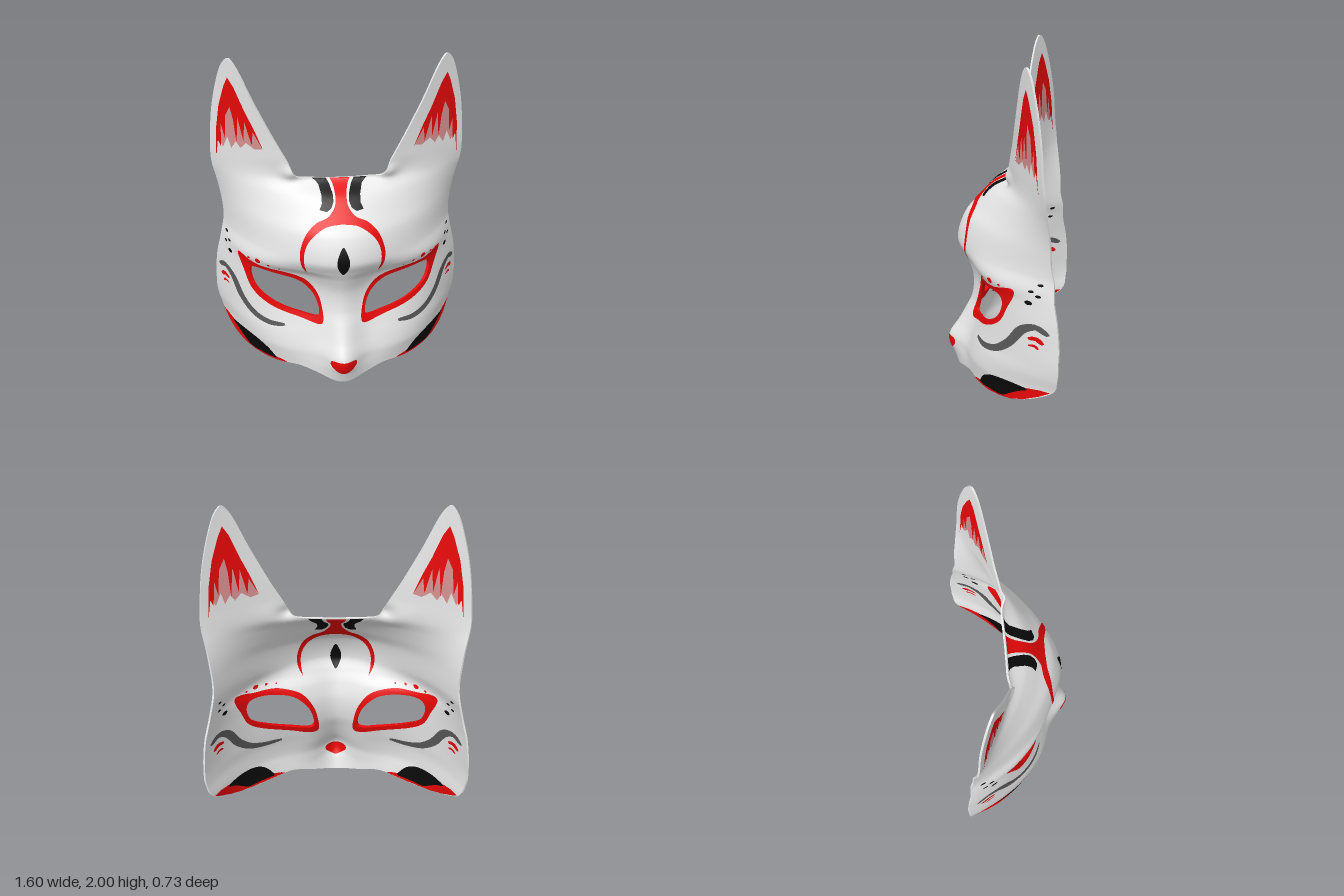
import * as THREE from 'three';

const mat = (name, color) => Object.assign(new THREE.MeshStandardMaterial({ color }), { name });
const THICK = 0.012;

// Face relief by height: y, ridge z, cheek z, ridge width, curve power, half width, edge z
const ROWS = [
  [0, .30, .235, .13, 2.3, .8, -.357], [.08, .328, .235, .13, 2.4, .8, -.357],
  [.14, .355, .23, .12, 2.7, .785, -.357], [.2, .357, .218, .12, 3.1, .775, -.357],
  [.29, .3, .192, .115, 3.2, .793, -.357], [.37, .256, .165, .12, 3.2, .8, -.357],
  [.47, .21, .13, .135, 3.5, .795, -.355], [.6, .2, .108, .15, 3.7, .785, -.35],
  [.71, .23, .122, .18, 3.7, .765, -.34], [.78, .262, .175, .21, 3.6, .748, -.333],
  [.865, .293, .215, .24, 2.8, .73, -.325], [1.015, .245, .192, .26, 2.4, .73, -.31],
  [1.105, .165, .135, .27, 2.2, .74, -.3], [1.2, .075, .07, .3, 2, .755, -.285],
  [1.28, -.045, .028, .32, 1.8, .77, -.272], [1.4, .02, .02, .32, 1.6, .78, -.262],
  [1.6, .03, .03, .25, 1.6, .78, -.258], [2, .08, .08, .25, 1.6, .78, -.248],
];

// Smooth interpolation between the rows
function row(y) {
  const n = ROWS.length;
  let i = 0;
  while (i < n - 2 && y > ROWS[i + 1][0]) i++;
  const a = ROWS[i], b = ROWS[i + 1], p = ROWS[Math.max(i - 1, 0)], q = ROWS[Math.min(i + 2, n - 1)];
  const h = b[0] - a[0], s = Math.min(1, Math.max(0, (y - a[0]) / h)), s2 = s * s, s3 = s2 * s;
  return a.map((v, k) => {
    const m0 = (b[k] - p[k]) / (b[0] - p[0]) * h, m1 = (q[k] - v) / (q[0] - a[0]) * h;
    return (2 * s3 - 3 * s2 + 1) * v + (s3 - 2 * s2 + s) * m0 + (3 * s2 - 2 * s3) * b[k] + (s3 - s2) * m1;
  });
}

function relief(x, y) {
  const [, ridge, cheek, w, p, X, edge] = row(y), ax = Math.abs(x);
  // Small fold where the inner ear edge meets the forehead
  const fold = 0.035 * Math.exp(-(((ax - 0.29) / 0.06) ** 2) - ((y - 1.315) / 0.045) ** 2);
  return cheek - (cheek - edge) * Math.pow(ax / X, p) + (ridge - cheek) * Math.exp(-((x / w) ** 2)) + fold;
}

// Point on the face, moved along its normal by off
function onFace(x, y, off) {
  const e = 0.004;
  const n = new THREE.Vector3((relief(x - e, y) - relief(x + e, y)) / (2 * e),
    (relief(x, y - e) - relief(x, y + e)) / (2 * e), 1).normalize();
  return { p: new THREE.Vector3(x, y, relief(x, y)).addScaledVector(n, off), n };
}

// Fill a flat outline with small triangles and bend it onto the face
function sheet(outline, holes, off, back) {
  const shape = new THREE.Shape(outline);
  shape.holes = holes.map(h => new THREE.Path(h));
  const flat = new THREE.ShapeGeometry(shape).toNonIndexed().getAttribute('position');
  const pos = [], nor = [], max = 0.026;
  const emit = (tri) => {
    for (const v of back ? [tri[0], tri[2], tri[1]] : tri) {
      const { p, n } = onFace(v.x, v.y, off);
      pos.push(p.x, p.y, p.z);
      if (back) n.negate();
      nor.push(n.x, n.y, n.z);
    }
  };
  const split = (a, b, c) => {
    const ab = a.distanceTo(b), bc = b.distanceTo(c), ca = c.distanceTo(a), m = Math.max(ab, bc, ca);
    if (m <= max) return emit([a, b, c]);
    if (m === bc) [a, b, c] = [b, c, a];
    else if (m === ca) [a, b, c] = [c, a, b];
    const mid = a.clone().add(b).multiplyScalar(0.5);
    split(a, mid, c);
    split(mid, b, c);
  };
  const at = i => new THREE.Vector2(flat.getX(i), flat.getY(i));
  for (let i = 0; i < flat.count; i += 3) split(at(i), at(i + 1), at(i + 2));
  const g = new THREE.BufferGeometry();
  g.setAttribute('position', new THREE.Float32BufferAttribute(pos, 3));
  g.setAttribute('normal', new THREE.Float32BufferAttribute(nor, 3));
  return g;
}

// Wall closing the shell along a loop
function wall(loop, hole, extra) {
  const pts = THREE.ShapeUtils.isClockWise(loop) === hole ? loop : [...loop].reverse();
  const pos = [], idx = [], n = pts.length;
  pts.forEach((v, i) => {
    pos.push(...onFace(v.x, v.y, extra).p.toArray(), ...onFace(v.x, v.y, -THICK - extra).p.toArray());
    const a = 2 * i, b = 2 * ((i + 1) % n);
    idx.push(a, a + 1, b, b, a + 1, b + 1);
  });
  const g = new THREE.BufferGeometry();
  g.setAttribute('position', new THREE.Float32BufferAttribute(pos, 3));
  g.setIndex(idx);
  g.computeVertexNormals();
  return g;
}

const vec = pts => pts.map(([x, y]) => new THREE.Vector2(x, y));
const mirror = pts => pts.map(v => new THREE.Vector2(-v.x, v.y));
function smooth(pts, n, closed = true) {
  const c = new THREE.CatmullRomCurve3(pts.map(([x, y]) => new THREE.Vector3(x, y, 0)), closed, 'centripetal');
  const out = c.getPoints(n).map(v => new THREE.Vector2(v.x, v.y));
  if (closed) out.pop();
  return out;
}
const oval = (x, y, r) => Array.from({ length: 14 }, (_, i) =>
  new THREE.Vector2(x + r * Math.cos(i * Math.PI / 7), y + r * Math.sin(i * Math.PI / 7)));
// Brush stroke with tapered ends
function stroke(pts, width) {
  const c = smooth(pts, 28, false), left = [], right = [];
  c.forEach((v, i) => {
    const d = c[Math.min(i + 1, 28)].clone().sub(c[Math.max(i - 1, 0)]).normalize();
    const r = width / 2 * (0.3 + 0.7 * Math.sqrt(Math.sin(Math.PI * i / 28) + 1e-9));
    left.push(new THREE.Vector2(v.x - d.y * r, v.y + d.x * r));
    right.unshift(new THREE.Vector2(v.x + d.y * r, v.y - d.x * r));
  });
  return [...left, ...right];
}

export function createModel() {
  const group = new THREE.Group();
  const white = mat('maskWhite', 0xe8e8e8), red = mat('paintRed', 0xea0808), black = mat('paintBlack', 0x0a0a0a);
  const grey = mat('paintGrey', 0x585858), pink = mat('paintPink', 0xd69090);
  const add = (name, geo, m) => {
    const mesh = new THREE.Mesh(geo, m);
    mesh.name = name;
    group.add(mesh);
  };
  // Paint shows on the outside and the inside of the shell
  const paint = (name, pts, m, holes = [], off = 0.004) => {
    add(name, sheet(pts, holes, off, false), m);
    add(name + 'Inside', sheet(pts, holes, -THICK - off, true), m);
  };
  const paintPair = (name, pts, m, holes = [], off) => {
    paint(name + 'Left', pts, m, holes, off);
    paint(name + 'Right', mirror(pts), m, holes.map(mirror), off);
  };

  // Shell with ears and eye openings
  const half = [[.15, .038], [.28, .07], [.41, .06], [.55, .065], [.68, .115], [.76, .2], [.795, .31], [.8, .39],
    [.785, .6], [.75, .76], [.722, .92], [.74, 1.13], [.773, 1.32], [.77, 1.45], [.75, 1.66], [.71, 1.85],
    [.67, 1.965], [.636, 2], [.6, 1.965], [.495, 1.74], [.39, 1.53], [.31, 1.385], [.27, 1.308], [.25, 1.29], [.175, 1.284]];
  const outline = smooth([[0, .005], ...half, [0, 1.28], ...half.map(([x, y]) => [-x, y]).reverse()], 260);
  const eye = smooth([[.148, .43], [.164, .55], [.254, .655], [.386, .695], [.545, .70], [.566, .655],
    [.534, .56], [.44, .495], [.28, .445]], 60);
  const eyes = [eye, mirror(eye)];
  add('shellFront', sheet(outline, eyes, 0, false), white);
  add('shellInside', sheet(outline, eyes, -THICK, true), white);
  add('shellRim', wall(outline, false, 0), white);

  // Red eye liner
  const liner = smooth([[.63, .765], [.598, .645], [.555, .54], [.466, .472], [.28, .412], [.127, .38],
    [.127, .505], [.16, .6], [.228, .68], [.36, .725], [.52, .738]], 77);
  paintPair('eyeLiner', liner, red, [eye]);
  eyes.forEach(e => add('eyeRim', wall(e, true, 0.004), red));
  for (const [x, y, r] of [[.51, .77, .016], [.445, .762, .008], [.565, .765, .007], [.38, .752, .005]])
    paintPair('browDot', oval(x, y, r), red);

  // Forehead crescent, stem, commas and lens
  const crest = [[.06, 1.279], [.037, 1.23], [.037, 1.17], [.08, 1.115], [.148, 1.085], [.205, 1.035], [.238, .97],
    [.254, .895], [.243, .82], [.213, .765]];
  const inner = [[.228, .83], [.23, .89], [.215, .955], [.175, 1.015], [.095, 1.068]];
  const crestHalf = [...smooth(crest, 40, false), ...smooth([...inner, [0, 1.083]], 24, false)];
  paint('foreheadCrescent', [...crestHalf, ...mirror(crestHalf).reverse().slice(1)], red);
  paintPair('foreheadComma', vec([[.165, 1.281], [.13, 1.25], [.115, 1.21], [.115, 1.175], [.13, 1.145], [.088, 1.138],
    [.06, 1.155], [.046, 1.185], [.048, 1.215], [.065, 1.25], [.085, 1.28]]), black);
  paint('foreheadLens', smooth([[0, .972], [.028, .92], [.037, .875], [.028, .83], [0, .785],
    [-.028, .83], [-.037, .875], [-.028, .92]], 40), black);

  // Nose
  paint('nose', smooth([[0, .098], [.04, .115], [.078, .155], [.074, .185], [.04, .193], [0, .193],
    [-.04, .193], [-.074, .185], [-.078, .155], [-.04, .115]], 40), red);

  // Cheek paint along the lower edge
  paintPair('cheekRed', vec([[.757, .203], [.725, .16], [.68, .118], [.62, .085], [.55, .068], [.48, .061], [.41, .063],
    [.345, .069], [.37, .08], [.42, .09], [.5, .09], [.57, .09], [.61, .12], [.65, .16], [.69, .194], [.73, .204]]), red);
  paintPair('cheekBlack', smooth([[.69, .187], [.655, .197], [.6, .199], [.53, .186], [.47, .15], [.43, .105], [.415, .08],
    [.5, .079], [.575, .085], [.615, .118], [.655, .155]], 50), black, [], 0.006);

  // Cheek strokes and dots
  paintPair('cheekStroke', stroke([[.765, .555], [.725, .585], [.68, .555], [.62, .44], [.55, .37], [.46, .342], [.355, .347]], .042), grey);
  paintPair('cheekDash', stroke([[.752, .495], [.73, .518], [.702, .508]], .024), red);
  paintPair('cheekDashSmall', stroke([[.74, .46], [.725, .475], [.705, .468]], .014), red);
  for (const [x, y, r] of [[.685, .715, .013], [.687, .782, .008], [.71, .762, .008], [.702, .825, .008]])
    paintPair('templeDot', oval(x, y, r), black);

  // Ear paint with drips
  paintPair('earPink', vec([[.722, 1.5], [.69, 1.43], [.66, 1.5], [.64, 1.43], [.61, 1.48], [.585, 1.44], [.55, 1.48],
    [.5, 1.445], [.452, 1.455], [.54, 1.64], [.63, 1.74], [.7, 1.62]]), pink, [], 0.003);
  paintPair('earRed', vec([[.638, 1.885], [.662, 1.83], [.7, 1.7], [.725, 1.54], [.736, 1.34], [.718, 1.47], [.702, 1.43],
    [.694, 1.58], [.674, 1.49], [.664, 1.64], [.635, 1.70], [.618, 1.62], [.605, 1.47], [.592, 1.64], [.563, 1.49],
    [.553, 1.62], [.515, 1.47], [.506, 1.56], [.448, 1.45], [.5, 1.58], [.55, 1.69], [.605, 1.83]]), red, [], 0.005);
  return group;
}
